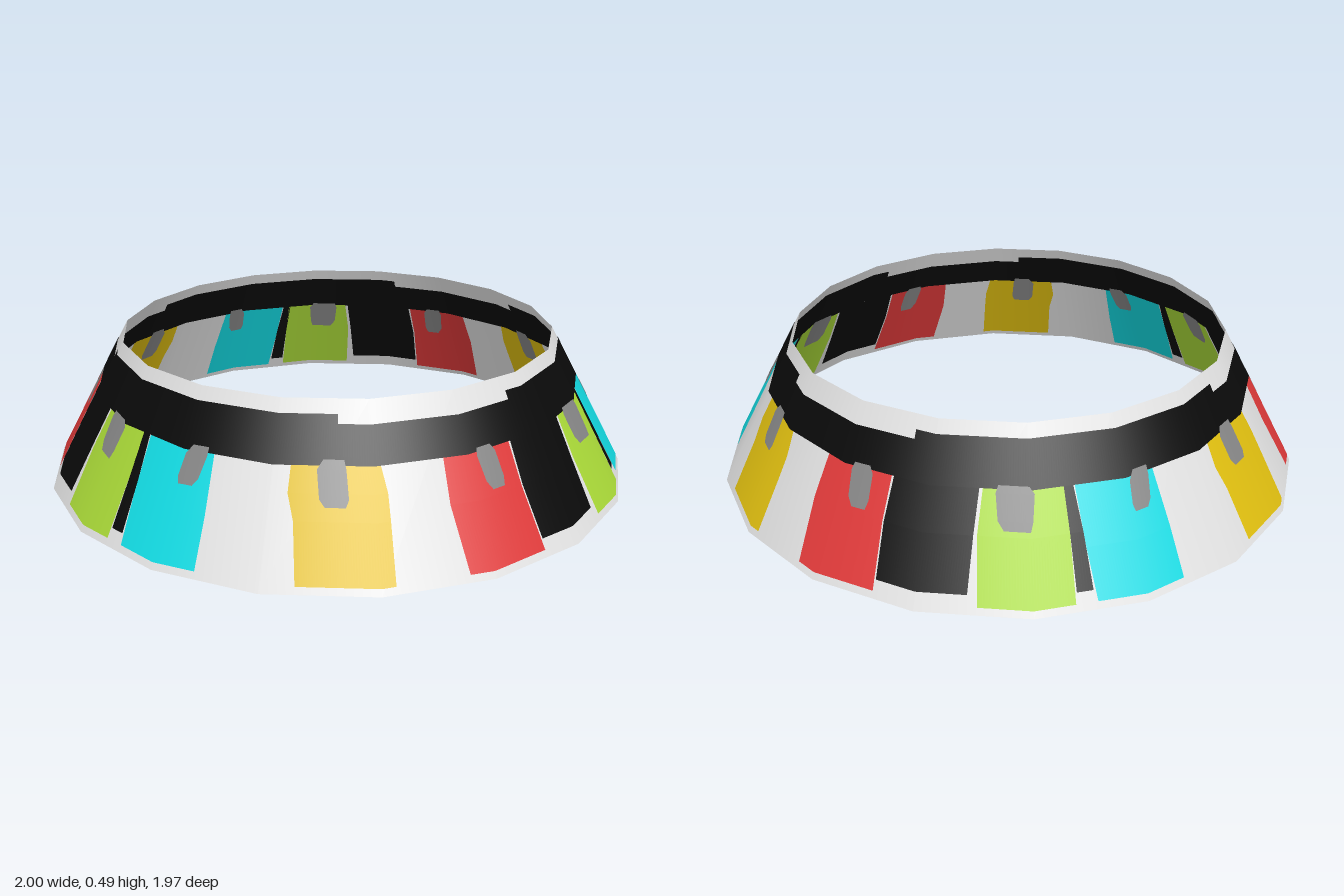
import * as THREE from 'three';

const SIDES = 18, HEIGHT = 0.49, R_BOTTOM = 1, R_TOP = 0.735;
const RAD = Math.PI / 180, STEP = 360 / SIDES;

const paint = (name, color) => {
  const m = new THREE.MeshStandardMaterial({ color, side: THREE.DoubleSide });
  m.name = name;
  return m;
};

// Point on the faceted cone: angle in degrees from the front towards +x
function conePoint(angle, y) {
  const fromMiddle = angle - Math.round(angle / STEP) * STEP;
  const r = (R_BOTTOM + (R_TOP - R_BOTTOM) * y / HEIGHT)
    * Math.cos(STEP / 2 * RAD) / Math.cos(fromMiddle * RAD);
  return new THREE.Vector3(r * Math.sin(angle * RAD), y, r * Math.cos(angle * RAD));
}

function coneNormal(angle) {
  return new THREE.Vector3(HEIGHT * Math.sin(angle * RAD), R_BOTTOM - R_TOP, HEIGHT * Math.cos(angle * RAD)).normalize();
}

// Patch lying on the cone; rows are [height, start angle, end angle]
function patchGeometry(rows, offset) {
  const columns = Math.ceil(Math.max(...rows.map(r => r[2] - r[1])) * 2);
  const positions = [], normals = [], index = [];
  rows.forEach(([y, a0, a1], i) => {
    for (let j = 0; j <= columns; j++) {
      const angle = a0 + (a1 - a0) * j / columns;
      const n = coneNormal(angle);
      positions.push(...conePoint(angle, y).addScaledVector(n, offset).toArray());
      normals.push(...n.toArray());
      if (i && j) {
        const d = i * (columns + 1) + j, b = d - columns - 1;
        index.push(b - 1, b, d, b - 1, d, d - 1);
      }
    }
  });
  const g = new THREE.BufferGeometry();
  g.setAttribute('position', new THREE.Float32BufferAttribute(positions, 3));
  g.setAttribute('normal', new THREE.Float32BufferAttribute(normals, 3));
  g.setIndex(index);
  return g;
}

export function createModel() {
  const white = paint('white', 0xe2e2e2);
  const black = paint('black', 0x0a0a0a);
  const yellow = paint('yellow', 0xe0bf10);
  const red = paint('red', 0xe03a3a);
  const lime = paint('lime', 0xaada38);
  const cyan = paint('cyan', 0x12dbe3);
  const grey = paint('grey', 0x868686);

  const model = new THREE.Group();
  model.name = 'conicalRing';

  // Open tapered ring
  const ring = new THREE.Mesh(
    new THREE.CylinderGeometry(R_TOP, R_BOTTOM, HEIGHT, SIDES, 1, true, STEP / 2 * RAD), white);
  ring.position.y = HEIGHT / 2;
  ring.name = 'ring';
  model.add(ring);

  // Painted parts of one third of the ring: name, material, layer, rows
  const parts = [
    ['lowBand', black, 1, [[0.32, -17, 25], [0.425, -17, 25]]],
    ['highBand', black, 1, [[0.32, 25, 103], [0.45, 25, 103]]],
    ['blackBlock', black, 1, [[0.05, 22.2, 38.8], [0.2, 21.5, 39.3], [0.32, 21.8, 40]]],
    ['blackStripe', black, 1, [[0.05, 57.6, 60.6], [0.2, 57.4, 60], [0.32, 57, 59]]],
    ['yellowPanel', yellow, 1, [[0.02, -24.2, -7.5], [0.18, -25.2, -7.5], [0.25, -26.6, -7.6], [0.32, -26.4, -8.6]]],
    ['redPanel', red, 1, [[0.02, 5.6, 22], [0.2, 4.3, 21.2], [0.32, 4.6, 21.3]]],
    ['limePanel', lime, 1, [[0.02, 40.6, 57.3], [0.2, 40, 57.4], [0.32, 40.7, 57.4]]],
    ['cyanPanel', cyan, 1, [[0.02, 61.2, 78], [0.16, 60.2, 77.8], [0.32, 59.3, 77]]],
    ['yellowTab', grey, 2, [[0.215, -19.5, -15.6], [0.235, -20.6, -15], [0.31, -21.2, -15.4], [0.335, -20, -15.8]]],
    ['redTab', grey, 2, [[0.215, 14, 17], [0.24, 12.8, 17.4], [0.31, 12, 17], [0.33, 12.3, 16]]],
    ['limeTab', grey, 2, [[0.215, 45, 50], [0.24, 43.8, 50.5], [0.31, 43.3, 51], [0.33, 43.8, 50]]],
    ['cyanTab', grey, 2, [[0.23, 70.8, 73.8], [0.25, 70.4, 74.8], [0.31, 70.8, 75.6], [0.335, 72, 75.6]]],
  ];

  for (let k = 0; k < 3; k++) {
    const third = new THREE.Group();
    third.name = `paintedThird${k + 1}`;
    third.rotation.y = k * 120 * RAD;
    // The same paint shows on the outside and the inside of the wall
    for (const [name, material, layer, rows] of parts) {
      for (const side of [1, -1]) {
        const mesh = new THREE.Mesh(patchGeometry(rows, side * layer * 0.002), material);
        mesh.name = name + (side > 0 ? 'Outer' : 'Inner');
        third.add(mesh);
      }
    }
    model.add(third);
  }
  return model;
}
